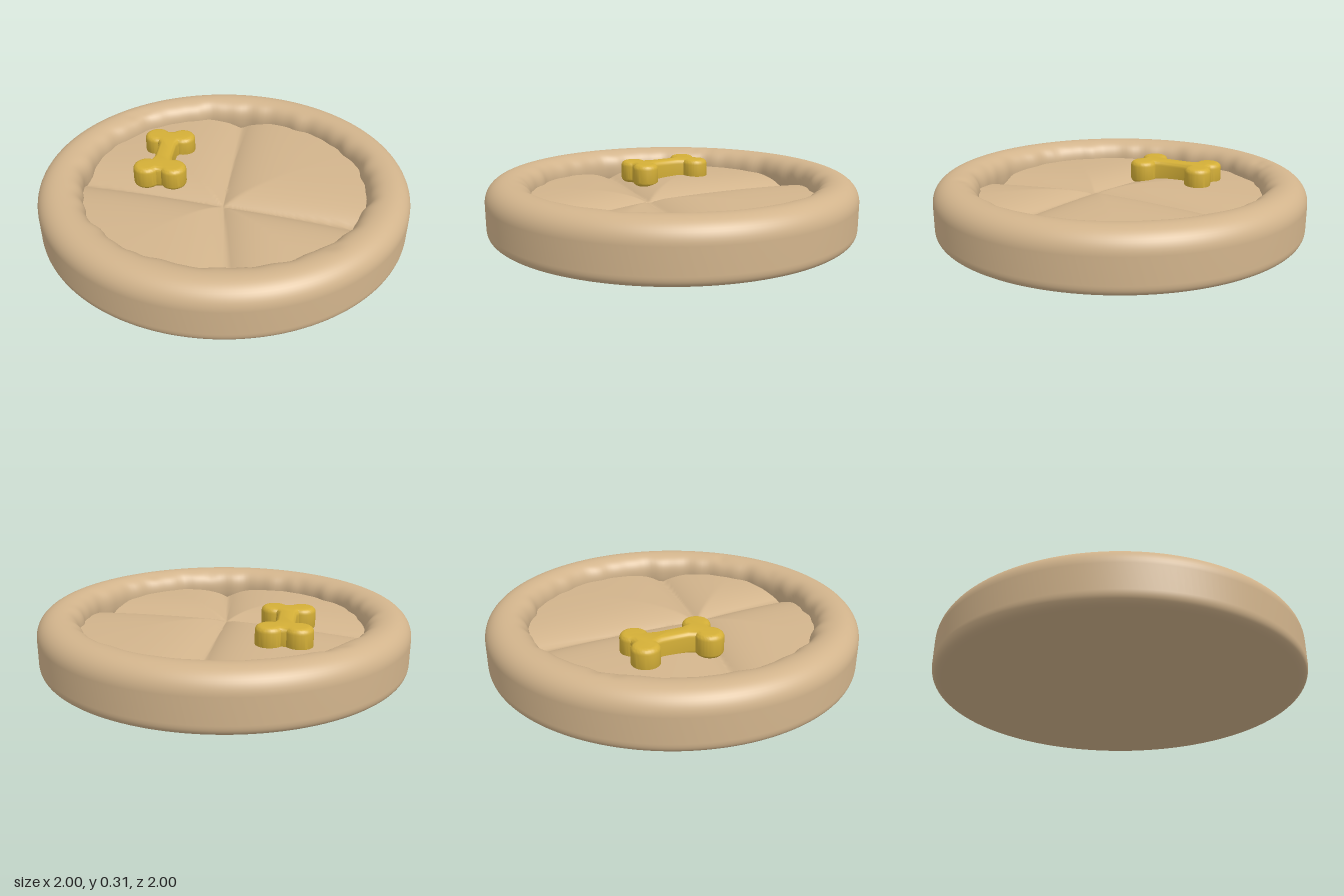
import * as THREE from 'three';
import { mergeVertices, toCreasedNormals } from 'three/addons/utils/BufferGeometryUtils.js';

const fabric = new THREE.MeshStandardMaterial({ color: 0xd2b48c });
fabric.name = 'tan fabric';
const gold = new THREE.MeshStandardMaterial({ color: 0xd4af37 });
gold.name = 'gold';

// Moves every vertex by a rule, welds seams and smooths the normals
function reshape(geometry, rule) {
  const pos = geometry.attributes.position;
  const v = new THREE.Vector3();
  for (let i = 0; i < pos.count; i++) {
    v.fromBufferAttribute(pos, i);
    rule(v);
    pos.setXYZ(i, v.x, v.y, v.z);
  }
  geometry.deleteAttribute('uv');
  geometry.deleteAttribute('normal');
  const welded = mergeVertices(geometry, 1e-5);
  welded.computeVertexNormals();
  return welded;
}

function addMesh(group, name, geometry, material) {
  const mesh = new THREE.Mesh(geometry, material);
  mesh.name = name;
  group.add(mesh);
  return mesh;
}

// Padded rim with its flat base, gathered into folds on the inner side
function rimGeometry() {
  const path = new THREE.Path();
  path.moveTo(0, 0);
  path.lineTo(0.93, 0);
  path.lineTo(0.945, 0.001);
  path.bezierCurveTo(0.98, 0.003, 1, 0.02, 1, 0.06);
  path.lineTo(1, 0.19);
  path.bezierCurveTo(1, 0.255, 0.95, 0.3, 0.885, 0.3);
  path.bezierCurveTo(0.815, 0.3, 0.775, 0.26, 0.772, 0.2);
  path.bezierCurveTo(0.771, 0.15, 0.78, 0.11, 0.8, 0.08);
  const lathe = new THREE.LatheGeometry(path.getPoints(12), 192);
  const dents = [[0.18, -0.82], [0.09, -0.84], [-0.17, 0.82], [-0.78, 0.1], [-0.5, 0.62]];
  return reshape(lathe, (v) => {
    const r = Math.hypot(v.x, v.z);
    if (v.y < 0.07 || r > 0.93) return;
    const a = Math.atan2(v.z, v.x);
    const inner = 1 - THREE.MathUtils.smoothstep(r, 0.775, 0.88);
    const fold = 0.005 * Math.sin(13 * a) + 0.004 * Math.sin(22 * a + 1)
      + 0.003 * Math.sin(37 * a + 2) + 0.004 * Math.cos(a);
    const scale = 1 + inner * fold / r;
    let dent = 0;
    for (const [x, z] of dents) dent += Math.exp(-((v.x - x) ** 2 + (v.z - z) ** 2) / 0.0012);
    v.x *= scale;
    v.z *= scale;
    v.y -= 0.008 * dent;
  });
}

// Cushion puffed up between four seams that meet off centre
function cushionGeometry() {
  const hub = new THREE.Vector3(-0.12, 0, 0.1);
  const seams = [[-0.46, -0.64], [0.7, -0.46], [0.24, 0.8], [-0.62, 0.58]].map(
    ([x, z]) => new THREE.Line3(hub, new THREE.Vector3(x, 0, z)));
  const near = new THREE.Vector3();
  const disc = new THREE.RingGeometry(0.001, 0.82, 192, 60).rotateX(-Math.PI / 2);
  return reshape(disc, (v) => {
    let d = 1;
    for (const seam of seams) {
      seam.closestPointToPoint(v, true, near);
      d = Math.min(d, near.distanceTo(v));
    }
    const r2 = v.x * v.x + v.z * v.z;
    v.y = 0.15 - 0.04 * r2 + 0.07 * (1 - Math.exp(-d / 0.11));
  });
}

// Puffy bone with two round lobes at each end
function boneGeometry() {
  const cx = 0.172, cy = 0.073, r = 0.073, waist = 0.05;
  const rad = THREE.MathUtils.degToRad;
  const shape = new THREE.Shape();
  shape.moveTo(0, -waist);
  shape.lineTo(0.07, -waist);
  shape.absarc(cx, -cy, r, rad(170), rad(415), false);
  shape.absarc(cx, cy, r, rad(-55), rad(190), false);
  shape.lineTo(0.07, waist);
  shape.lineTo(-0.07, waist);
  shape.absarc(-cx, cy, r, rad(-10), rad(235), false);
  shape.absarc(-cx, -cy, r, rad(125), rad(370), false);
  shape.lineTo(-0.07, -waist);
  shape.closePath();
  const bevel = 0.028;
  const geometry = new THREE.ExtrudeGeometry(shape, {
    depth: 0.125 - 2 * bevel, curveSegments: 20,
    bevelThickness: bevel, bevelSize: bevel, bevelOffset: -bevel, bevelSegments: 6,
  });
  geometry.translate(0, 0, bevel).rotateX(-Math.PI / 2);
  return toCreasedNormals(geometry, 0.8);
}

export function createModel() {
  const group = new THREE.Group();
  group.name = 'petBed';
  addMesh(group, 'paddedRim', rimGeometry(), fabric);
  addMesh(group, 'cushion', cushionGeometry(), fabric);
  const bone = addMesh(group, 'toyBone', boneGeometry(), gold);
  bone.position.set(-0.073, 0.18, -0.383);
  bone.rotation.y = rad36;
  return group;
}

const rad36 = THREE.MathUtils.degToRad(36);
